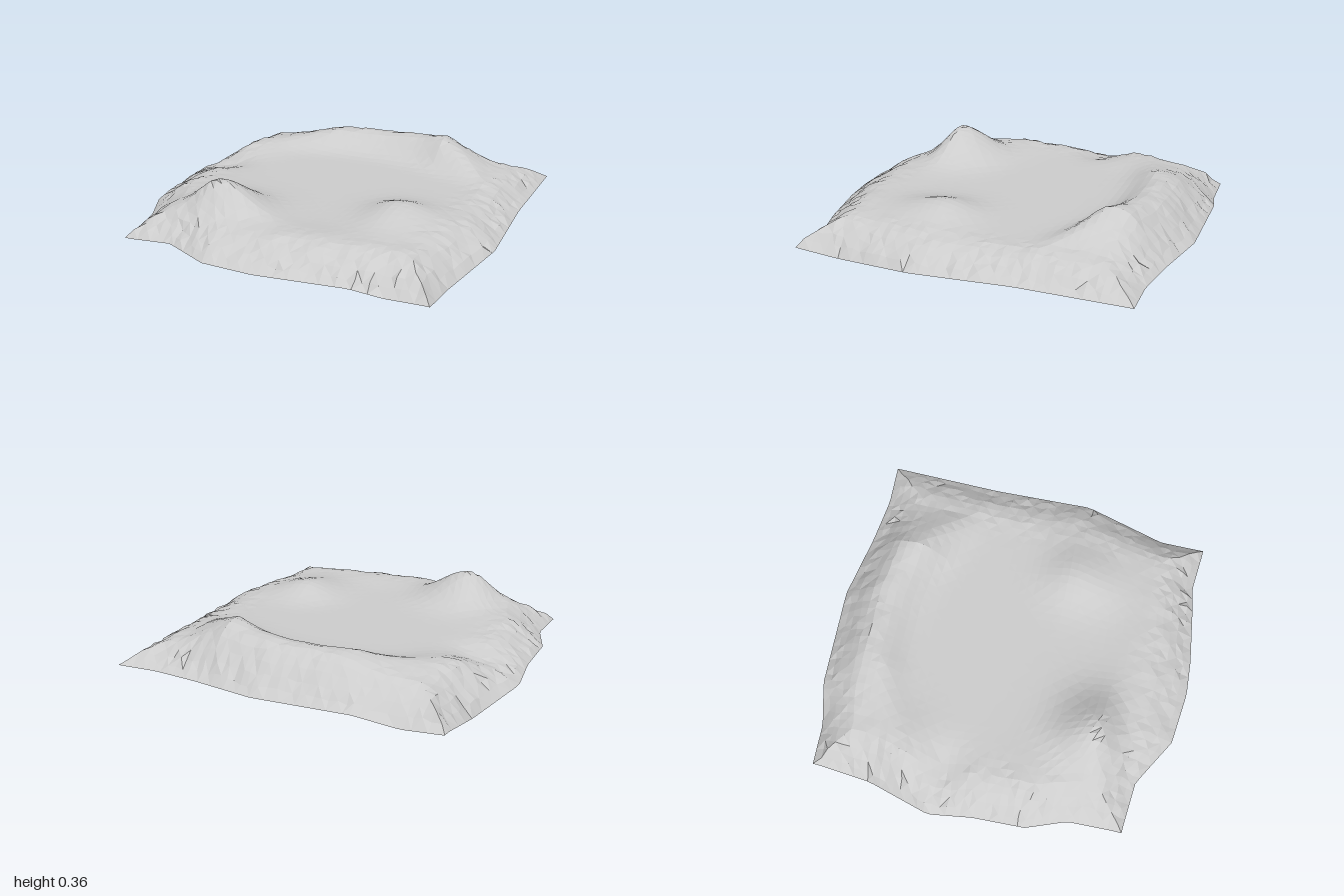
import * as THREE from 'three';

const N = 44; // cells per side

// Outline of the sheet: [position along the edge, offset of the edge, height]
const BACK = [[-0.89, -0.88, 0.04], [-0.65, -0.9, 0.03], [-0.43, -0.96, 0.08], [0.1, -1, 0.08], [0.45, -0.95, 0.08], [0.7, -0.93, 0.08], [0.94, -0.95, 0.08]];
const FRONT = [[-0.83, 0.83, 0.06], [-0.58, 0.84, 0.08], [-0.3, 0.98, 0.08], [0, 1, 0.08], [0.2, 0.98, 0.08], [0.5, 0.93, 0.07], [0.67, 0.9, 0.04], [0.9, 0.91, 0.05]];
const LEFT = [[-0.88, -0.89, 0.04], [-0.58, -0.9, 0.0], [-0.2, -1, 0.06], [0.05, -0.96, 0.08], [0.35, -0.94, 0.08], [0.57, -0.85, 0.08], [0.83, -0.83, 0.06]];
const RIGHT = [[-0.95, 0.94, 0.08], [-0.33, 0.95, 0.08], [0.2, 0.99, 0.07], [0.64, 0.9, 0.03], [0.91, 0.9, 0.05]];
// Height of the rear ridge along x
const RIDGE = [[-0.9, 0], [-0.6, 0.03], [-0.3, 0.1], [0, 0.105], [0.25, 0.12], [0.4, 0.15], [0.55, 0.09], [0.7, 0.02], [0.95, 0]];

function sample(table, a, column = 1) {
  if (a <= table[0][0]) return table[0][column];
  for (let i = 1; i < table.length; i++) {
    const p = table[i - 1], q = table[i];
    if (a <= q[0]) return THREE.MathUtils.lerp(p[column], q[column], (a - p[0]) / (q[0] - p[0]));
  }
  return table[table.length - 1][column];
}

// Gaussian hill with its own spread on each side of the summit
function hill(x, z, cx, cz, left, right, back, front) {
  const dx = (x - cx) / (x < cx ? left : right);
  const dz = (z - cz) / (z < cz ? back : front);
  return Math.exp(-dx * dx - dz * dz);
}

// Flat basin ringed by hills
function landHeight(x, z) {
  const crest = -0.72 + 0.5 * x * x;
  const d = (z - crest) / (z > crest ? 0.14 : 0.25);
  return 0.19
    + sample(RIDGE, x) * Math.exp(-d * d)                        // rear ridge
    + 0.17 * hill(x, z, -0.4, 0.57, 0.17, 0.23, 0.21, 0.11)      // steep knoll
    + 0.075 * hill(x, z, 0.48, 0.25, 0.17, 0.2, 0.17, 0.25)      // side rise
    + 0.02 * hill(x, z, 0.15, 0.7, 0.5, 0.5, 0.15, 0.15)         // front rim
    + 0.02 * hill(x, z, -0.7, 0.3, 0.15, 0.2, 0.2, 0.2)
    + 0.02 * hill(x, z, -0.65, -0.4, 0.2, 0.15, 0.2, 0.15)
    - 0.05 * hill(x, z, -0.8, -0.16, 0.15, 0.15, 0.15, 0.1);     // side gully
}

function createTerrain() {
  let seed = 7;
  const noise = () => {
    seed = (seed * 16807) % 2147483647;
    return seed / 2147483647 - 0.5;
  };
  const positions = [], indices = [];
  for (let j = 0; j <= N; j++) {
    for (let i = 0; i <= N; i++) {
      const s = i / N, t = j / N;
      const ax = THREE.MathUtils.lerp(-0.87, 0.92, s), az = THREE.MathUtils.lerp(-0.92, 0.88, t);
      let x = THREE.MathUtils.lerp(sample(LEFT, az), sample(RIGHT, az), s);
      let z = THREE.MathUtils.lerp(sample(BACK, ax), sample(FRONT, ax), t);

      // Ease from the border height to the land height
      const gaps = [s, 1 - s, t, 1 - t].map((g) => 1.85 * g + 1e-5);
      const borders = [sample(LEFT, az, 2), sample(RIGHT, az, 2), sample(BACK, ax, 2), sample(FRONT, ax, 2)];
      let sum = 0, weight = 0;
      gaps.forEach((g, k) => { sum += borders[k] / g; weight += 1 / g; });
      const border = sum / weight;
      const gap = Math.min(...gaps);
      const rise = Math.sin(Math.min(1, gap / 0.23) * Math.PI / 2);

      // Rough facets on the outer slopes
      const onEdge = i === 0 || j === 0 || i === N || j === N;
      const rough = onEdge ? 0 : Math.max(0, 1 - gap / 0.35);
      x += noise() * 0.02 * rough;
      z += noise() * 0.02 * rough;
      const y = THREE.MathUtils.lerp(border, landHeight(x, z), rise) + noise() * 0.022 * rough;
      positions.push(x, y, z);
    }
  }
  for (let j = 0; j < N; j++) {
    for (let i = 0; i < N; i++) {
      const a = j * (N + 1) + i, b = a + 1, c = a + N + 1, d = c + 1;
      if ((i + j) % 2) indices.push(a, c, b, b, c, d);
      else indices.push(a, c, d, a, d, b);
    }
  }
  const geometry = new THREE.BufferGeometry();
  geometry.setAttribute('position', new THREE.Float32BufferAttribute(positions, 3));
  geometry.setIndex(indices);
  geometry.computeVertexNormals();
  return geometry;
}

export function createModel() {
  const group = new THREE.Group();
  group.name = 'landscape';
  const material = new THREE.MeshStandardMaterial({ color: 0xcccccc, flatShading: true, side: THREE.DoubleSide });
  const terrain = new THREE.Mesh(createTerrain(), material);
  terrain.name = 'terrain';
  group.add(terrain);
  return group;
}
